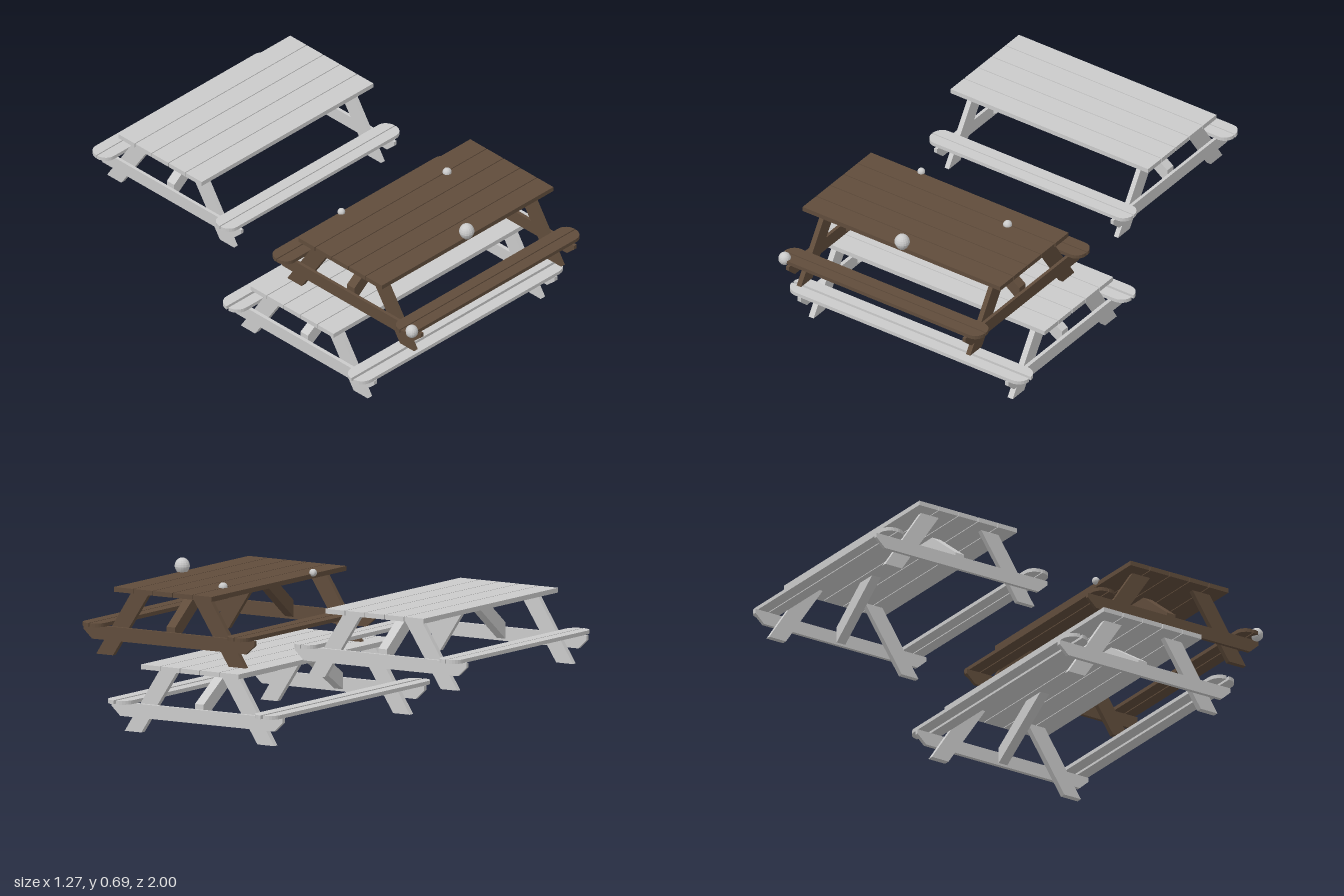
import * as THREE from 'three';

const grey = new THREE.MeshStandardMaterial({ color: 0xcacaca });
grey.name = 'pale grey';
const brown = new THREE.MeshStandardMaterial({ color: 0x604c3b });
brown.name = 'brown wood';

function add(parent, name, geometry, material) {
  const mesh = new THREE.Mesh(geometry, material);
  mesh.name = name;
  parent.add(mesh);
  return mesh;
}

function extrude(points, depth) {
  const shape = new THREE.Shape(points.map(([x, y]) => new THREE.Vector2(x, y)));
  return new THREE.ExtrudeGeometry(shape, { depth, bevelEnabled: false });
}

// Side profile given as (z, y), extruded across x from x0 to x1
function sideProfile(points, x0, x1) {
  return extrude(points, x1 - x0).rotateY(-Math.PI / 2).translate(x1, 0, 0);
}

// Half of a seat: straight inner edge, outer edge rounded off at both ends
function seatPlank(halfLength, width, round, thickness) {
  const points = [];
  const steps = 6;
  for (let i = 0; i <= steps; i++) {
    const a = (i / steps) * Math.PI / 2;
    points.push([halfLength - round + round * Math.cos(a), width * Math.sin(a)]);
  }
  const left = points.map(([x, y]) => [-x, y]).reverse();
  return extrude([...points, ...left], thickness).rotateX(-Math.PI / 2);
}

function picnicTable(name, material, stretch, seatOuter, seatGap) {
  const table = new THREE.Group();
  table.name = name;
  const s = stretch;

  // Five top planks
  const pitch = 0.103;
  for (let i = -2; i <= 2; i++) {
    const plank = add(table, 'topPlank', new THREE.BoxGeometry(1.054 * s, 0.021, pitch - 0.004), material);
    plank.position.set(0, 0.3025, i * pitch);
  }

  // Two benches, each of two planks that together have rounded ends
  const seatInner = 0.323;
  const width = (seatOuter - seatInner - seatGap) / 2;
  const middle = (seatOuter + seatInner) / 2;
  for (const side of [-1, 1]) {
    for (const half of [-1, 1]) {
      const plank = add(table, 'seatPlank', seatPlank(0.538 * s, width, 0.048 * s, 0.017), material);
      plank.position.set(0, 0.128, side * middle + half * seatGap / 2);
      if (half === 1) plank.rotation.y = Math.PI;
    }
  }

  for (const side of [-1, 1]) {
    // Slanted legs
    for (const z of [-1, 1]) {
      const leg = [[0.39 * z, 0], [0.303 * z, 0], [0.111 * z, 0.292], [0.202 * z, 0.292]];
      const geometry = sideProfile(leg, -0.0115 * s, 0.0115 * s).translate(side * 0.4515 * s, 0, 0);
      add(table, 'leg', geometry, material);
    }

    // Cross beam outside the legs, carrying the benches
    const beam = [
      [-0.447, 0.128], [-0.447, 0.108], [-0.402, 0.067],
      [0.402, 0.067], [0.447, 0.108], [0.447, 0.128],
    ];
    const beamGeometry = sideProfile(beam, -0.0075 * s, 0.0075 * s).translate(side * 0.4705 * s, 0, 0);
    add(table, 'crossBeam', beamGeometry, material);

    // Diagonal brace from the beam up to the top
    const brace = [[0.463, 0.077], [0.463, 0.15], [0.28, 0.292], [0.186, 0.292]].map(([x, y]) => [x * s, y]);
    const mesh = add(table, 'brace', extrude(brace, 0.045).translate(0, 0, -0.0225), material);
    if (side === -1) mesh.rotation.y = Math.PI;
  }
  return table;
}

// Faceted ball; taper narrows its lower half into an egg
function ball(parent, name, radius, height, taper, position) {
  const geometry = new THREE.SphereGeometry(1, 16, 12);
  const p = geometry.attributes.position;
  for (let i = 0; i < p.count; i++) {
    const y = p.getY(i);
    const k = radius * (1 + taper * Math.min(0, y));
    p.setXYZ(i, p.getX(i) * k, y * height, p.getZ(i) * k);
  }
  const faceted = geometry.toNonIndexed();
  faceted.computeVertexNormals();
  add(parent, name, faceted, grey).position.set(...position);
}

export function createModel() {
  const model = new THREE.Group();
  model.name = 'picnicTables';

  const low = picnicTable('longLowTable', grey, 1.176, 0.444, 0.013);
  low.position.set(0, 0, 0.35);
  const front = picnicTable('brownTable', brown, 1, 0.434, 0.005);
  front.position.set(0, 0.311, 0.553);
  const back = picnicTable('backTable', grey, 1, 0.434, 0.005);
  back.position.set(0, 0.311, -0.553);
  model.add(low, front, back);

  // Balls resting on the brown table
  ball(model, 'largeEgg', 0.034, 0.039, 0.25, [0, 0.647, 0.803]);
  ball(model, 'seatBall', 0.028, 0.03, 0, [-0.506, 0.453, 0.972]);
  ball(model, 'smallBallRight', 0.017, 0.017, 0, [-0.261, 0.629, 0.294]);
  ball(model, 'smallBallLeft', 0.02, 0.02, 0, [0.278, 0.627, 0.404]);
  return model;
}
